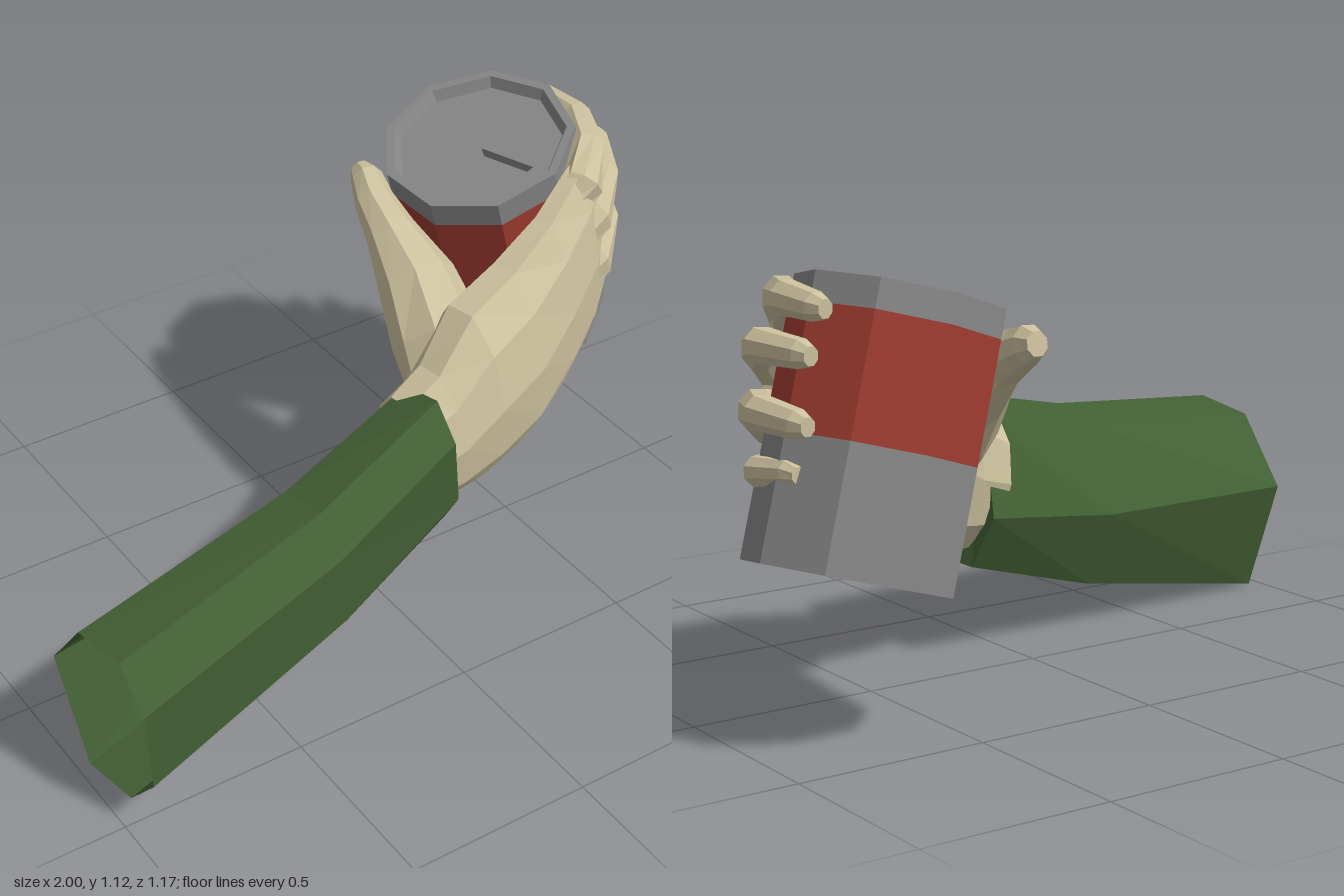
import * as THREE from 'three';

const V = (x, y, z) => new THREE.Vector3(x, y, z);
const Y = V(0, 1, 0);

function flat(geo) {
  const g = geo.index ? geo.toNonIndexed() : geo;
  g.computeVertexNormals();
  return g;
}

// Skin a row of rings, each an equal-length list of points
function loft(rings, caps = true) {
  const pos = rings.flat().flatMap(p => [p.x, p.y, p.z]), idx = [], sides = rings[0].length;
  for (let r = 0; r < rings.length - 1; r++) {
    for (let i = 0; i < sides; i++) {
      const a = r * sides + i, b = r * sides + (i + 1) % sides;
      idx.push(a, b, b + sides, a, b + sides, a + sides);
    }
  }
  if (caps) {
    const e = (rings.length - 1) * sides;
    for (let i = 1; i < sides - 1; i++) idx.push(0, i + 1, i, e, e + i, e + i + 1);
  }
  const g = new THREE.BufferGeometry();
  g.setAttribute('position', new THREE.Float32BufferAttribute(pos, 3));
  g.setIndex(idx);
  return flat(g);
}

// Oval rings along a path of [x, y, z, halfHeight, halfThickness]; a given up keeps them sheared
function limb(path, sides, up) {
  const pts = path.map(p => V(p[0], p[1], p[2]));
  return loft(pts.map((c, i) => {
    const t = pts[Math.min(i + 1, pts.length - 1)].clone().sub(pts[Math.max(i - 1, 0)]).normalize();
    const v = t.clone().cross(up || Y).normalize();
    const u = up || v.clone().cross(t);
    return Array.from({ length: sides }, (_, k) => {
      const a = ((k + 0.5) / sides) * Math.PI * 2;
      return c.clone().addScaledVector(u, Math.cos(a) * path[i][3])
        .addScaledVector(v, Math.sin(a) * path[i][4]);
    });
  }));
}

export function createModel() {
  const skin = new THREE.MeshStandardMaterial({ color: 0xcdc29f });
  const green = new THREE.MeshStandardMaterial({ color: 0x426034, side: THREE.DoubleSide });
  const grey = new THREE.MeshStandardMaterial({ color: 0x868686 });
  const red = new THREE.MeshStandardMaterial({ color: 0x9f3c30 });
  skin.name = 'skin'; green.name = 'green cloth'; grey.name = 'grey metal'; red.name = 'red label';

  const model = new THREE.Group();
  model.name = 'handHoldingCan';
  const add = (parent, name, geo, mat) => {
    const m = new THREE.Mesh(geo, mat);
    m.name = name;
    parent.add(m);
    return m;
  };

  // Sleeve: uneven seven-sided tube, open at the elbow, sagging midway, folded in at the wrist
  const elbow = [[0.53, 0.51], [0.41, 0.585], [0.175, 0.575], [0.035, 0.45], [0.005, 0.26], [0.31, 0.175], [0.5, 0.33]]
    .map(([y, z]) => V(-0.978 - 0.08 * (y - 0.27) + 0.08 * (z - 0.38), y, z));
  const cuff = [[0.69, 0.25], [0.585, 0.31], [0.38, 0.285], [0.26, 0.2], [0.26, 0.07], [0.4, 0.0], [0.645, 0.1]]
    .map(([y, z]) => V(0.11 - 0.16 * (y - 0.475), y, z));
  const middle = elbow.map((p, i) => p.clone().lerp(cuff[i], 0.6).add(V(0, -0.03, 0.015)));
  const fold = cuff.map(p => p.clone().lerp(V(0.06, 0.475, 0.15), 0.4));
  add(model, 'sleeve', loft([elbow, middle, cuff, fold], false), green);

  // Hand: palm, thumb and four fingers
  const hand = new THREE.Group();
  hand.name = 'hand';
  model.add(hand);
  add(hand, 'palm', limb([
    [0.05, 0.475, 0.15, 0.175, 0.115],
    [0.15, 0.5, 0.143, 0.21, 0.118],
    [0.27, 0.565, 0.115, 0.275, 0.133],
    [0.43, 0.61, 0.083, 0.285, 0.12],
    [0.58, 0.69, 0.047, 0.28, 0.088],
    [0.7, 0.77, 0.0, 0.275, 0.07],
    [0.775, 0.805, -0.05, 0.25, 0.045],
  ], 10, V(-0.12, 1, 0)), skin);

  add(hand, 'thumb', limb([
    [0.22, 0.56, 0.1, 0.1, 0.1],
    [0.255, 0.675, 0.0, 0.135, 0.125],
    [0.265, 0.785, -0.12, 0.105, 0.105],
    [0.27, 0.865, -0.25, 0.07, 0.068],
    [0.285, 0.905, -0.35, 0.056, 0.053],
    [0.308, 0.928, -0.42, 0.05, 0.044],
    [0.313, 0.935, -0.46, 0.032, 0.029],
  ], 8), skin);

  // Finger joints, from a root buried in the palm to the tip
  const fingers = {
    indexFinger: [[0.63, 0.9, 0.0], [0.715, 0.985, -0.005], [0.78, 1.04, -0.08], [0.835, 1.058, -0.2], [0.838, 1.053, -0.34]],
    middleFinger: [[0.63, 0.81, 0.03], [0.75, 0.875, 0.0], [0.845, 0.925, -0.09], [0.91, 0.955, -0.21], [0.895, 0.955, -0.37]],
    ringFinger: [[0.63, 0.68, 0.03], [0.76, 0.735, 0.0], [0.86, 0.78, -0.095], [0.925, 0.803, -0.23], [0.918, 0.8, -0.39]],
    littleFinger: [[0.62, 0.53, 0.02], [0.735, 0.585, -0.01], [0.84, 0.63, -0.095], [0.92, 0.66, -0.2], [0.92, 0.683, -0.345]],
  };
  const height = [0.07, 0.075, 0.055, 0.044, 0.036], thick = [0.04, 0.052, 0.048, 0.042, 0.034];
  for (const [name, pts] of Object.entries(fingers)) {
    const s = name === 'littleFinger' ? 0.85 : 1;
    const path = pts.map((p, i) => [...p, height[i] * s, thick[i] * s]);
    const [x, y, z] = pts[4];
    path.push([x - 0.003, y - 0.001, z - 0.035, 0.024 * s, 0.021 * s]);
    add(hand, name, limb(path, 8), skin);
  }

  // Can: nine-sided, leaning, built upwards from its base
  const can = new THREE.Group();
  can.name = 'can';
  const base = V(0.755, 0.405, -0.33), top = V(0.555, 1.05, -0.26);
  const H = base.distanceTo(top), R = 0.26, SIDES = 9, PHI = THREE.MathUtils.degToRad(15);
  can.position.copy(base);
  can.quaternion.setFromUnitVectors(Y, top.clone().sub(base).normalize());
  model.add(can);
  const turned = pts => flat(new THREE.LatheGeometry(
    pts.map(p => new THREE.Vector2(p[0], p[1])), SIDES, PHI));
  const y1 = H * 0.45, y2 = H * 0.893;
  add(can, 'canLowerBody', turned([[0, 0], [R, 0], [R, y1]]), grey);
  add(can, 'canBand', turned([[R, y1], [R, y2]]), red);
  add(can, 'canRim', turned([[R, y2], [R, H], [0.237, H], [0.222, H - 0.03], [0.205, H - 0.03]]), grey);

  // Lid with a wedge-shaped opening above a sunken floor
  const disc = () => new THREE.Shape(Array.from({ length: SIDES }, (_, i) => {
    const a = PHI + (i / SIDES) * Math.PI * 2;
    return new THREE.Vector2(0.208 * Math.sin(a), -0.208 * Math.cos(a));
  }));
  const lidShape = disc();
  lidShape.holes.push(new THREE.Path([[0, -0.01], [-0.075, -0.175], [0.055, -0.165]]
    .map(p => new THREE.Vector2(p[0], p[1]))));
  const lid = new THREE.ExtrudeGeometry(lidShape, { depth: 0.03, bevelEnabled: false });
  add(can, 'canLid', flat(lid.rotateX(-Math.PI / 2).translate(0, H - 0.06, 0)), grey);
  const floor = new THREE.ShapeGeometry(disc());
  add(can, 'openingFloor', flat(floor.rotateX(-Math.PI / 2).translate(0, H - 0.058, 0)), grey);

  return model;
}
